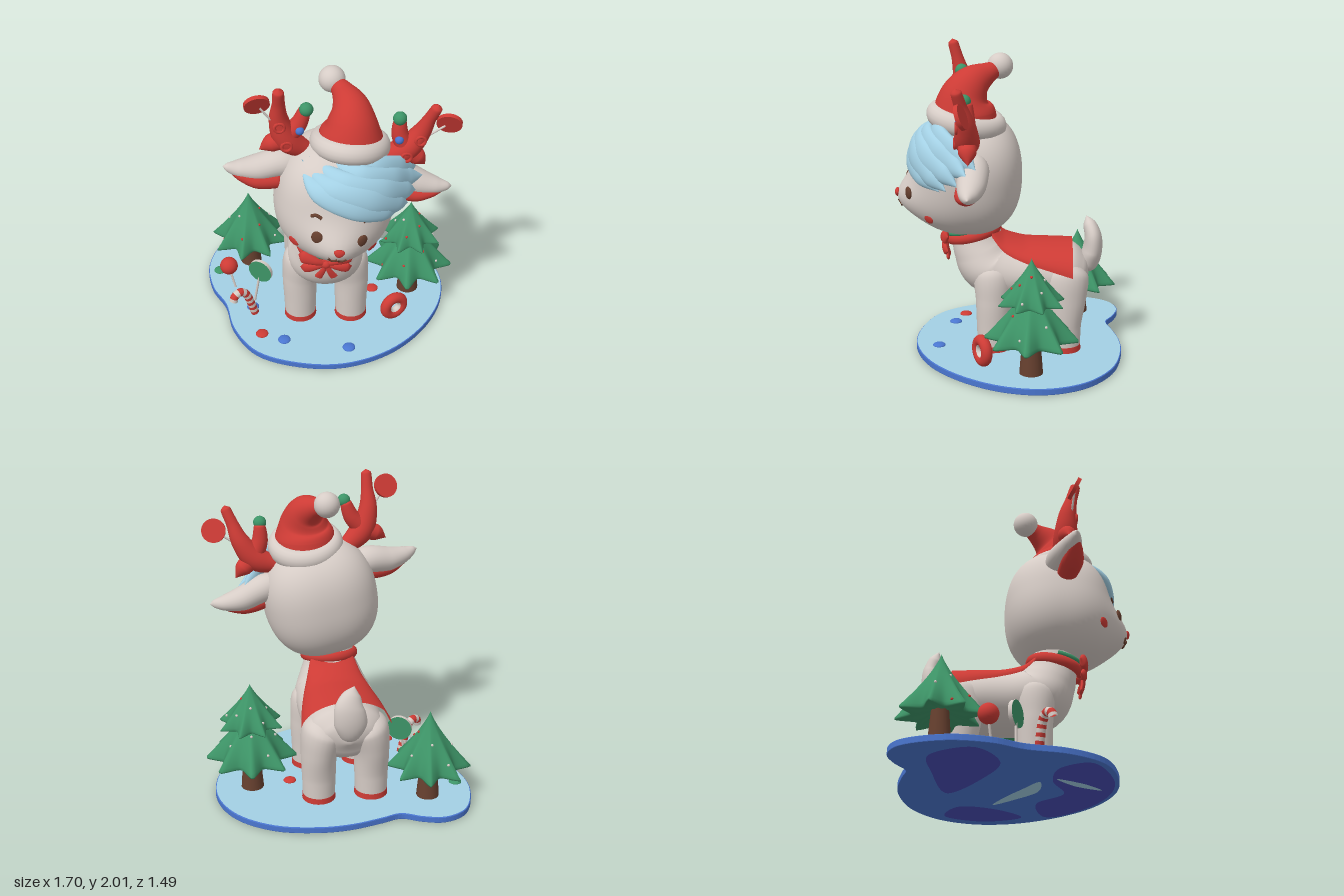
import * as THREE from 'three';
import { mergeVertices } from 'three/addons/utils/BufferGeometryUtils.js';
import { ParametricGeometry } from 'three/addons/geometries/ParametricGeometry.js';

const V = (p) => new THREE.Vector3(...p);
const mat = (name, color, side = THREE.FrontSide) => {
  const m = new THREE.MeshStandardMaterial({ color, side });
  m.name = name;
  return m;
};

function add(parent, name, geo, material, pos = [0, 0, 0], rot = [0, 0, 0], scale = [1, 1, 1]) {
  const m = new THREE.Mesh(geo, material);
  m.name = name;
  m.position.set(...pos);
  m.rotation.set(...rot);
  m.scale.set(...scale);
  parent.add(m);
  return m;
}

function smooth(geo) {
  geo.deleteAttribute('uv');
  geo.deleteAttribute('normal');
  const g = mergeVertices(geo);
  g.computeVertexNormals();
  return g;
}

// Tapered limb along a curve; sizes are [half width, half width along ref]
function taper(pts, sizes, ref = [0, 0, 1], nu = 24, nv = 36) {
  const path = new THREE.CatmullRomCurve3(pts.map(V));
  const size = new THREE.CatmullRomCurve3(sizes.map((s) => (Array.isArray(s) ? V([s[0], s[1], 0]) : V([s, s, 0]))));
  const up = V(ref);
  return smooth(new ParametricGeometry((u, v, out) => {
    const t = path.getTangent(v), s = size.getPoint(v);
    const a = up.clone().cross(t).normalize(), b = t.clone().cross(a);
    const k = u >= 1 ? 0 : u * Math.PI * 2;
    out.copy(path.getPoint(v))
      .addScaledVector(a, Math.max(0, s.x) * Math.cos(k))
      .addScaledVector(b, Math.max(0, s.y) * Math.sin(k));
  }, nu, nv));
}

const flip = (pts, s) => pts.map(([x, y, z]) => [x * s, y, z]);
const ball = (r) => new THREE.SphereGeometry(r, 24, 16);

// Closed smooth outline; sy = -1 for shapes turned to face up
const blob = (pts, scale, sy) => new THREE.Shape(new THREE.CatmullRomCurve3(
  pts.map(([x, z]) => V([x * scale, sy * z * scale, 0])), true).getPoints(120).map((p) => new THREE.Vector2(p.x, p.y)));

function rod(parent, name, a, b, r, material) {
  return add(parent, name, new THREE.TubeGeometry(new THREE.LineCurve3(V(a), V(b)), 1, r, 8), material);
}

// Head: a rounded-off box-like ellipsoid with a soft muzzle on its front
const RX = 0.375, RY = 0.39, RZ = 0.34, Q = 2.4;
const muzzle = (x, y) => 0.135 * Math.exp(-((x / 0.2) ** 2) - ((y + 0.17) / 0.16) ** 2);
function faceZ(x, y) {
  const z = RZ * Math.max(0, 1 - Math.abs(x / RX) ** Q - Math.abs(y / RY) ** Q) ** (1 / Q);
  return z + muzzle(x, y) * Math.min(1, z / 0.2);
}

// Point on a star-shaped tree tier; k runs from the top to the hem
function tierPoint(R, top, hem, n, phase, angle, k) {
  const r = R * (0.25 * k + 0.75 * k ** 1.4) * (1 - 0.38 * k * k * Math.abs(Math.sin((n * (angle - phase)) / 2)));
  return [r * Math.cos(angle), top - (top - hem) * k, r * Math.sin(angle)];
}

export function createModel() {
  const root = new THREE.Group();
  root.name = 'winterDeer';
  const fur = mat('cream fur', 0xd6ccc6);
  const red = mat('red', 0xcd3b35, THREE.DoubleSide);
  const ice = mat('light blue', 0xa3d0e4);
  const blue = mat('blue', 0x4a76d0);
  const indigo = mat('indigo', 0x484cb4);
  const green = mat('green', 0x3d9467);
  const brown = mat('brown', 0x67402f);

  const group = (name, pos = [0, 0, 0], parent = root) => {
    const g = new THREE.Group();
    g.name = name;
    g.position.set(...pos);
    parent.add(g);
    return g;
  };

  // Base slab with a thin rim
  const outline = [[-0.6, -0.74], [-0.75, -0.67], [-0.85, -0.4], [-0.81, -0.15], [-0.71, 0.03], [-0.64, 0.28],
    [-0.48, 0.5], [-0.2, 0.61], [0.1, 0.62], [0.4, 0.5], [0.64, 0.27], [0.78, 0], [0.8, -0.25], [0.7, -0.48],
    [0.48, -0.65], [0.2, -0.72], [0, -0.72], [-0.2, -0.68], [-0.33, -0.65], [-0.46, -0.71]];
  const rim = new THREE.ExtrudeGeometry(blob(outline, 0.995, -1), {
    depth: 0.032, bevelSize: 0.004, bevelThickness: 0.004, bevelSegments: 2 });
  add(root, 'baseRim', rim, blue, [0, 0.006, 0], [-Math.PI / 2, 0, 0]);
  add(root, 'baseTop', new THREE.ShapeGeometry(blob(outline, 0.993, -1)), ice, [0, 0.044, 0], [-Math.PI / 2, 0, 0]);

  // Patches under the slab
  [
    [[[0.6, 0.2], [0.3, 0.14], [0.1, 0.3], [-0.15, 0.22], [-0.4, 0.25], [-0.5, 0.42], [-0.2, 0.58], [0.1, 0.59], [0.38, 0.48], [0.6, 0.27]], indigo, 0.001],
    [[[0.1, -0.42], [-0.2, -0.2], [-0.5, -0.1], [-0.75, -0.25], [-0.62, -0.5], [-0.3, -0.5]], indigo, 0.001],
    [[[0.72, -0.2], [0.62, 0.05], [0.45, -0.1], [0.38, -0.35], [0.6, -0.45]], indigo, 0.001],
    [[[0.34, -0.14], [0.2, -0.08], [0.02, 0.03], [-0.14, 0.14], [0.05, 0.14], [0.22, 0]], ice, 0],
    [[[0.02, 0.53], [-0.06, 0.36], [-0.2, 0.24], [-0.1, 0.42]], ice, 0],
  ].forEach(([pts, m, y]) =>
    add(root, 'undersidePatch', new THREE.ShapeGeometry(blob(pts, 1, 1)), m, [0, y, 0], [Math.PI / 2, 0, 0]));

  // Gumdrops on the ground
  [[-0.45, 0.33, red], [-0.3, 0.39, blue], [0.13, 0.47, blue], [-0.77, -0.33, green], [0.31, -0.12, red],
    [-0.52, 0.06, blue]].forEach(([x, z, m]) =>
    add(root, 'gumdrop', ball(0.042), m, [x, 0.045, z], [0, 0, 0], [1, 0.4, 1]));

  // Body, legs and tail
  const body = group('body', [-0.02, 0, 0]);
  add(body, 'torso', taper(
    [[0, 0.5, -0.51], [0, 0.51, -0.47], [0, 0.52, -0.38], [0, 0.535, -0.2], [0, 0.54, 0], [0, 0.58, 0.14],
      [0, 0.68, 0.2], [0, 0.78, 0.23], [0, 0.9, 0.25]],
    [0, [0.12, 0.17], [0.19, 0.25], [0.19, 0.255], [0.195, 0.255], [0.2, 0.25], [0.18, 0.205], [0.16, 0.165], 0.15],
    [1, 0, 0], 36, 48), fur);
  for (const s of [1, -1]) {
    for (const [name, z, r] of [['frontLeg', 0.11, 0.115], ['backLeg', -0.35, 0.14]]) {
      add(body, name, taper(
        [[0.172 * s, 0.05, z], [0.172 * s, 0.2, z], [0.17 * s, 0.38, z], [0.145 * s, 0.52, z], [0.1 * s, 0.63, z]],
        [0.104, 0.109, [0.117, r], [0.135, r + 0.015], 0.05]), fur);
      add(body, 'hoof', new THREE.CylinderGeometry(0.106, 0.109, 0.04, 28), red, [0.172 * s, 0.062, z]);
    }
  }
  add(body, 'tail', taper(
    [[0, 0.53, -0.45], [0, 0.57, -0.5], [0, 0.66, -0.53], [0.01, 0.76, -0.535], [-0.01, 0.84, -0.51], [-0.03, 0.89, -0.49]],
    [0, [0.07, 0.06], [0.105, 0.065], [0.095, 0.056], [0.06, 0.042], 0], [0, 0, 1]), fur);

  // Cape draped over the back: edge points [half width, y, z] and ridge heights
  const drape = new THREE.CatmullRomCurve3([[0.15, 0.79, 0.12], [0.185, 0.7, 0.04], [0.23, 0.64, -0.1],
    [0.265, 0.6, -0.25], [0.29, 0.56, -0.4]].map(V));
  const ridge = new THREE.CatmullRomCurve3([[0, 0.84, 0], [0, 0.78, 0], [0, 0.742, 0], [0, 0.738, 0], [0, 0.735, 0]].map(V));
  add(body, 'cape', smooth(new ParametricGeometry((u, v, out) => {
    const d = drape.getPoint(v), a = (u - 0.5) * Math.PI;
    out.set(d.x * Math.sin(a), d.y + (ridge.getPoint(v).y - d.y) * Math.cos(a), d.z);
  }, 28, 28)), red);

  // Collar with a trim at the front, and a bow
  const collar = group('collar', [0, 0.79, 0.25], body);
  collar.rotation.x = 0.24;
  const ring = (r, arc) => new THREE.TorusGeometry(0.167, r, 12, 48, arc).rotateX(Math.PI / 2);
  add(collar, 'collarBand', ring(0.026, Math.PI * 2), red, [0, 0, 0], [0, 0, 0], [1, 1.3, 1]);
  add(collar, 'collarTrim', ring(0.018, Math.PI), green, [0, 0.042, 0]);
  const bow = group('bow', [0, 0.735, 0.42], body);
  add(bow, 'knot', ball(0.033), red);
  for (const s of [1, -1]) {
    for (const [name, pts, sizes] of [
      ['bowLoop', [[0, 0, 0], [0.07, 0.03, 0.01], [0.14, 0.055, 0], [0.175, 0.06, -0.02]], [0.015, [0.03, 0.025], [0.046, 0.025], 0]],
      ['lowerLoop', [[0, 0, 0], [0.06, -0.015, 0.01], [0.13, -0.035, 0], [0.165, -0.04, -0.02]], [0.015, [0.025, 0.018], [0.035, 0.018], 0]],
      ['ribbonTail', [[0, 0, 0], [0.02, -0.06, 0], [0.05, -0.12, -0.01], [0.055, -0.13, -0.01]], [0.01, [0.018, 0.01], [0.025, 0.01], 0]],
    ]) add(bow, name, taper(flip(pts, s), sizes), red);
  }

  // Head, tilted and slightly turned
  const head = group('head', [0.037, 1.2, 0.27]);
  head.rotation.set(0, 0.09, -0.18);
  const skull = new THREE.SphereGeometry(1, 64, 48);
  const p = skull.attributes.position;
  for (let i = 0; i < p.count; i++) {
    const d = [p.getX(i), p.getY(i), p.getZ(i)];
    const k = d.reduce((sum, c) => sum + Math.abs(c) ** Q, 0) ** (-1 / Q);
    const x = d[0] * k * RX, y = d[1] * k * RY, z = d[2] * k * RZ;
    p.setXYZ(i, x, y, z > 0 ? z + muzzle(x, y) * Math.min(1, z / 0.2) : z);
  }
  add(head, 'skull', smooth(skull), fur);

  const faceLine = (name, pts, r) => add(head, name, new THREE.TubeGeometry(
    new THREE.CatmullRomCurve3(pts.map(([x, y]) => V([x, y, faceZ(x, y) + 0.003]))), 20, r, 8), brown);
  for (const s of [1, -1]) {
    add(head, 'eye', ball(1), brown, [0.138 * s, -0.08, faceZ(0.138, -0.08)], [0, 0.45 * s, 0], [0.036, 0.042, 0.015]);
    faceLine('eyebrow', flip([[0.125, 0.035, 0], [0.155, 0.046, 0], [0.187, 0.034, 0]], s), 0.011);
    add(head, 'cheek', ball(1), red, [0.245 * s, -0.215, faceZ(0.245, -0.215)], [0.35, 0.75 * s, 0], [0.038, 0.032, 0.009]);
    faceLine('mouth', flip([[0, -0.185, 0], [0.012, -0.207, 0], [0.035, -0.21, 0], [0.058, -0.19, 0]], s), 0.007);

    // Ear, hollow side turned down and forward
    add(head, 'ear', taper(
      flip([[0.2, 0.16, -0.02], [0.36, 0.165, -0.02], [0.5, 0.125, 0], [0.62, 0.118, 0.02], [0.69, 0.127, 0.03], [0.715, 0.13, 0.03]], s),
      [[0.06, 0.07], [0.095, 0.09], [0.09, 0.08], [0.06, 0.052], [0.025, 0.025], 0], [0, 1, 0]), fur);
    add(head, 'innerEar', taper(
      flip([[0.3, 0.1, 0.02], [0.37, 0.072, 0.02], [0.49, 0.06, 0.03], [0.6, 0.083, 0.035], [0.69, 0.115, 0.035]], s),
      [0, [0.065, 0.06], [0.072, 0.056], [0.048, 0.035], 0], [0, 1, 0]), red);

    // Antler with its sweets and baubles
    const antler = group('antler', [0, 0, 0], head);
    add(antler, 'mainBranch', taper(
      flip([[0.2, 0.27, 0], [0.36, 0.36, 0.02], [0.43, 0.49, 0.03], [0.455, 0.62, 0.06], [0.472, 0.71, 0.085], [0.475, 0.735, 0.09]], s),
      [0.045, 0.078, 0.06, 0.038, 0.033, 0]), red);
    add(antler, 'innerTine', taper(flip([[0.37, 0.37, 0.02], [0.31, 0.47, 0.02], [0.29, 0.57, 0.02], [0.288, 0.59, 0.02]], s),
      [0.06, 0.052, 0.036, 0]), red);
    add(antler, 'outerTine', taper(flip([[0.35, 0.37, 0.02], [0.45, 0.32, 0.02], [0.515, 0.265, 0.02]], s),
      [0.06, 0.055, 0]), red);
    add(antler, 'greenBauble', ball(0.042), green, [0.283 * s, 0.585, 0.035]);
    add(antler, 'blueBauble', ball(0.027), blue, [0.303 * s, 0.453, 0.065]);
    for (const [x, y, z] of [[0.428, 0.471, 0.085], [0.366, 0.35, 0.093]])
      add(antler, 'button', new THREE.TorusGeometry(0.029, 0.01, 8, 24), red, [x * s, y, z]);
    rod(antler, 'sweetStick', [0.44 * s, 0.46, 0.05], [0.56 * s, 0.58, 0.06], 0.007, fur);
    add(antler, 'sweet', new THREE.CylinderGeometry(0.077, 0.077, 0.025, 32), red, [0.58 * s, 0.6, 0.06], [Math.PI / 2 + 0.4, 0, 0.2 * s]);
  }
  const nose = ball(1);
  const np = nose.attributes.position;
  for (let i = 0; i < np.count; i++) np.setX(i, np.getX(i) * (1 + 0.4 * np.getY(i)));
  nose.computeVertexNormals();
  add(head, 'nose', nose, red, [0, -0.135, faceZ(0, -0.135)], [0, 0, 0], [0.032, 0.028, 0.018]);

  // Swept fringe
  const hair = group('fringe', [0, 0, 0], head);
  [
    [[-0.28, 0.27, 0.12], [-0.15, 0.19, 0.29], [0.06, 0.145, 0.345], [0.25, 0.085, 0.29], [0.37, 0.03, 0.19]],
    [[-0.27, 0.29, 0.12], [-0.08, 0.22, 0.305], [0.14, 0.185, 0.325], [0.33, 0.11, 0.23], [0.43, 0.06, 0.15]],
    [[-0.23, 0.32, 0.12], [-0.02, 0.26, 0.29], [0.2, 0.215, 0.285], [0.38, 0.155, 0.16], [0.48, 0.11, 0.08]],
    [[-0.14, 0.35, 0.13], [0.06, 0.3, 0.26], [0.26, 0.25, 0.21], [0.4, 0.205, 0.09], [0.52, 0.19, 0.03]],
    [[-0.05, 0.37, 0.13], [0.14, 0.34, 0.2], [0.3, 0.28, 0.13], [0.4, 0.24, 0.03], [0.48, 0.21, -0.03]],
  ].forEach((pts) => add(hair, 'lock', taper(pts,
    [0, [0.075, 0.04], [0.09, 0.042], [0.066, 0.04], 0], [0.3, 0.3, 1]), ice));

  // Drooping hat
  const hat = group('hat');
  add(hat, 'hatCrown', taper(
    [[0.125, 1.53, 0.28], [0.13, 1.62, 0.29], [0.135, 1.71, 0.28], [0.125, 1.79, 0.23], [0.085, 1.84, 0.15], [0.03, 1.87, 0.07]],
    [0.2, 0.195, 0.155, 0.115, 0.07, 0.04], [0, 0, 1], 32), red);
  add(hat, 'hatBrim', new THREE.TorusGeometry(0.185, 0.06, 16, 48).rotateX(Math.PI / 2), fur,
    [0.127, 1.56, 0.275], [-0.24, 0, -0.09], [1, 1.15, 1.04]);
  add(hat, 'pompom', ball(0.082), fur, [0.022, 1.88, 0.068]);

  // Trees with star-shaped tiers: [radius, top, hem, points, phase]
  function tree(name, pos, trunkTop, tiers) {
    const g = group(name, pos);
    add(g, 'trunk', new THREE.CylinderGeometry(0.05, 0.075, trunkTop, 20), brown, [0, trunkTop / 2 + 0.03, 0]);
    for (const tier of tiers) {
      add(g, 'branches', smooth(new ParametricGeometry((u, v, out) => {
        const k = Math.min(1, v / 0.85), inner = Math.max(0, (v - 0.85) / 0.15);
        const q = tierPoint(...tier, u >= 1 ? 0 : u * Math.PI * 2, k);
        out.set(q[0] * (1 - inner), q[1] + inner * 0.05, q[2] * (1 - inner));
      }, 96, 28)), green);
      for (let i = 0; i < 10; i++)
        add(g, 'treeLight', new THREE.SphereGeometry(0.009, 10, 8), i % 3 ? fur : red,
          tierPoint(...tier, i * 2.4, 0.35 + 0.06 * i));
    }
  }
  tree('largeTree', [0.56, 0, -0.14], 0.32, [[0.32, 0.66, 0.26, 8, 0.1], [0.225, 0.79, 0.5, 8, 0.45]]);
  tree('smallTree', [-0.55, 0, -0.45], 0.3, [[0.285, 0.65, 0.25, 8, 0.2]]);

  // Striped candy cane
  const cane = new THREE.TubeGeometry(new THREE.CatmullRomCurve3([[-0.505, 0.05, 0.12], [-0.53, 0.15, 0.13],
    [-0.56, 0.24, 0.145], [-0.595, 0.27, 0.165], [-0.63, 0.255, 0.19], [-0.64, 0.22, 0.2]].map(V)), 42, 0.028, 14);
  for (let j = 0; j < 14; j++) cane.addGroup(j * 3 * 14 * 6, 3 * 14 * 6, j % 2);
  add(root, 'candyCane', cane, [red, fur]);

  // Lollipops and ring sweet
  rod(root, 'lollipopStick', [-0.65, 0.04, -0.15], [-0.688, 0.2, -0.17], 0.008, fur);
  add(root, 'redLollipop', ball(0.062), red, [-0.69, 0.222, -0.17]);
  rod(root, 'lollipopStick', [-0.51, 0.04, -0.01], [-0.47, 0.27, -0.01], 0.008, fur);
  const disc = group('greenLollipop', [-0.46, 0.31, -0.01]);
  disc.rotation.y = -0.45;
  add(disc, 'lollipopDisc', new THREE.CylinderGeometry(0.085, 0.085, 0.026, 32), [fur, green, green], [0, 0, 0], [Math.PI / 2, 0, 0]);
  const sweet = group('ringSweet', [0.445, 0.14, 0.17]);
  sweet.rotation.y = 0.5;
  add(sweet, 'ringOuter', new THREE.TorusGeometry(0.066, 0.036, 16, 36), red);
  add(sweet, 'ringInner', new THREE.TorusGeometry(0.056, 0.03, 16, 36), fur);

  return root;
}
